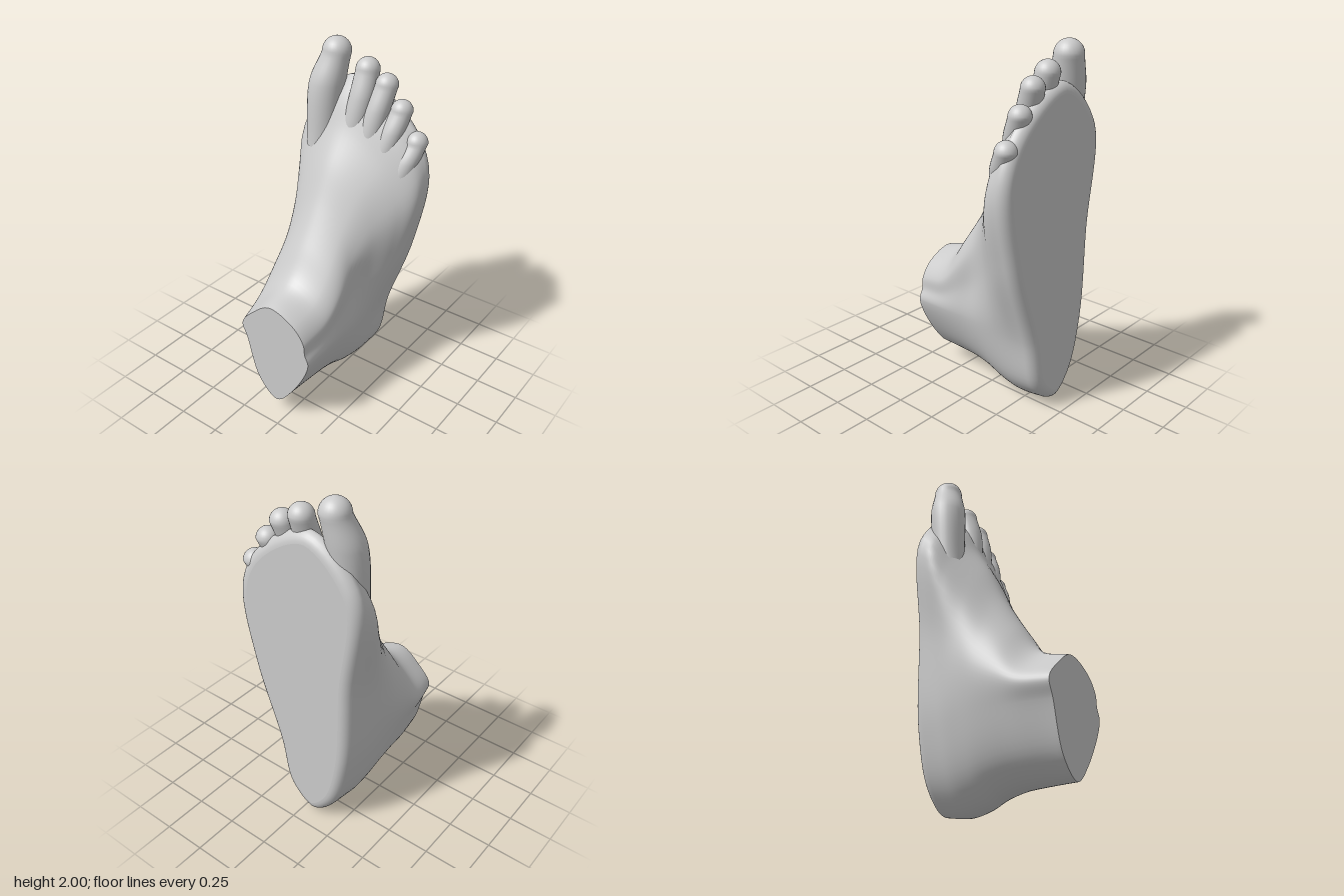
import * as THREE from 'three';

const material = new THREE.MeshStandardMaterial({ color: 0xcccccc });
const SOLE = -0.42;
const mix = THREE.MathUtils.lerp;

// Smooth skin through closed rings of equal point count
function skin(rings) {
  const n = rings[0].length, index = [];
  for (let i = 0; i < rings.length - 1; i++) {
    for (let j = 0; j < n; j++) {
      const a = i * n + j, b = i * n + (j + 1) % n;
      index.push(a, b, a + n, b, b + n, a + n);
    }
  }
  const g = new THREE.BufferGeometry().setFromPoints(rings.flat());
  g.setIndex(index);
  g.computeVertexNormals();
  return g;
}

// Flat lid over one ring
function lid(ring, reversed) {
  const n = ring.length, index = [];
  const centre = new THREE.Vector3();
  ring.forEach((p) => centre.addScaledVector(p, 1 / n));
  for (let j = 0; j < n; j++) {
    const k = (j + 1) % n;
    index.push(n, reversed ? k : j, reversed ? j : k);
  }
  const g = new THREE.BufferGeometry().setFromPoints([...ring, centre]);
  g.setIndex(index);
  g.computeVertexNormals();
  return g;
}

// Outline at one depth: up the outer side, over the instep, down the inner side
function section([z, bottom, outer, top, innerBall, inner]) {
  const heelX = -0.07, topX = -0.09, ankleY = 0.45, ankleOut = 0.165, ankleIn = inner + 0.03;
  const outerY = mix(top, 0.2, 0.27), innerY = mix(top, 0.2, 0.16), lowY = mix(bottom, ankleY, 0.28);
  const points = [
    [heelX, bottom],
    [mix(heelX, ankleOut, 0.58 - 0.3 * z), lowY],
    [ankleOut, ankleY],
    [mix(ankleOut, outer, 0.7), mix(ankleY, outerY, 0.5)],
    [outer, outerY],
    [mix(outer, topX, 0.3), mix(outerY, top, 0.6)],
    [topX, top],
    [innerBall, innerY],
    [inner, mix(ankleY, innerY, 0.48)],
    [ankleIn, ankleY],
    [mix(heelX, ankleIn, 0.6), lowY],
  ].map(([x, y]) => new THREE.Vector3(x, y, z));
  const curve = new THREE.CatmullRomCurve3(points, true);
  return Array.from({ length: 88 }, (_, i) => curve.getPoint(i / 88));
}

// Ring pulled inward and down to round the edge of the sole
function rimRing(ring, angle) {
  const n = ring.length, radius = ring[0].z - SOLE;
  return ring.map((p, j) => {
    const t = ring[(j + 1) % n].clone().sub(ring[(j + n - 1) % n]).normalize();
    const inset = radius * (1 - Math.cos(angle));
    return new THREE.Vector3(p.x - t.y * inset, p.y + t.x * inset, p.z - radius * Math.sin(angle));
  });
}

function bodyRings() {
  // depth, bottom y, outer ball x, top y, inner ball x, inner side x
  const levels = [
    [-.36, .02, .378, 1.81, -.373, -.335],
    [-.28, .005, .365, 1.71, -.38, -.34],
    [-.2, 0, .29, 1.54, -.34, -.35],
    [-.1, .02, .2, 1.37, -.28, -.35],
    [0, .06, .155, 1.17, -.25, -.35],
    [.12, .085, .16, .97, -.25, -.345],
    [.25, .09, .15, .79, -.24, -.335],
    [.42, .09, .135, .73, -.215, -.295],
  ].map(section);
  const rim = Array.from({ length: 7 }, (_, i) => rimRing(levels[0], (1 - i / 7) * Math.PI / 2));
  const columns = levels[0].map((_, j) => new THREE.CatmullRomCurve3(levels.map((l) => l[j])));
  const wall = Array.from({ length: 50 }, (_, i) => columns.map((c) => c.getPoint(i / 49)));
  return [...rim, ...wall];
}

// Toe swept from root over knuckle to a rounded tip
function toe(rootX, rootY, tipX, tipY, r, swell, bend) {
  const root = new THREE.Vector3(rootX, rootY, -0.27);
  const tip = new THREE.Vector3(tipX, tipY, SOLE + r + 0.004);
  const knuckle = root.clone().lerp(tip, 0.68);
  knuckle.x += bend;
  knuckle.z += 0.015;
  const path = new THREE.CatmullRomCurve3([root, knuckle, tip]);
  const girth = new THREE.SplineCurve([1.1, swell, 1].map((s, i) => new THREE.Vector2(i, s * r)));
  const ring = (c, radius) => Array.from({ length: 28 }, (_, j) => {
    const a = (j / 28) * Math.PI * 2;
    const z = c.z - radius * Math.sin(a);
    return new THREE.Vector3(c.x + radius * Math.cos(a), c.y, Math.max(SOLE + 0.002, z));
  });
  const rings = [];
  for (let i = 0; i <= 18; i++) rings.push(ring(path.getPoint(i / 18), girth.getPoint(i / 18).y));
  for (let i = 1; i <= 9; i++) {
    const a = (i / 9) * Math.PI / 2;
    rings.push(ring(tip.clone().setY(tipY + r * Math.sin(a)), r * Math.cos(a)));
  }
  return skin(rings);
}

export function createModel() {
  const group = new THREE.Group();
  group.name = 'foot';
  const add = (name, geometry) => {
    const mesh = new THREE.Mesh(geometry, material);
    mesh.name = name;
    group.add(mesh);
  };

  // Heel, instep and ankle in one skin, closed by the sole and the ankle cut
  const rings = bodyRings();
  add('footBody', skin(rings));
  add('sole', lid(rings[0], true));
  add('ankleCut', lid(rings[rings.length - 1], false));

  // Toes fan out from the ball of the foot
  add('bigToe', toe(-.25, 1.4, -.2, 1.92, .08, 1.25, -.02));
  add('secondToe', toe(-.06, 1.42, -.01, 1.855, .066, 1.06, .01));
  add('thirdToe', toe(.04, 1.4, .108, 1.795, .062, 1.06, 0));
  add('fourthToe', toe(.13, 1.34, .205, 1.675, .06, 1.08, 0));
  add('littleToe', toe(.22, 1.22, .305, 1.52, .06, 1.1, 0));
  return group;
}
